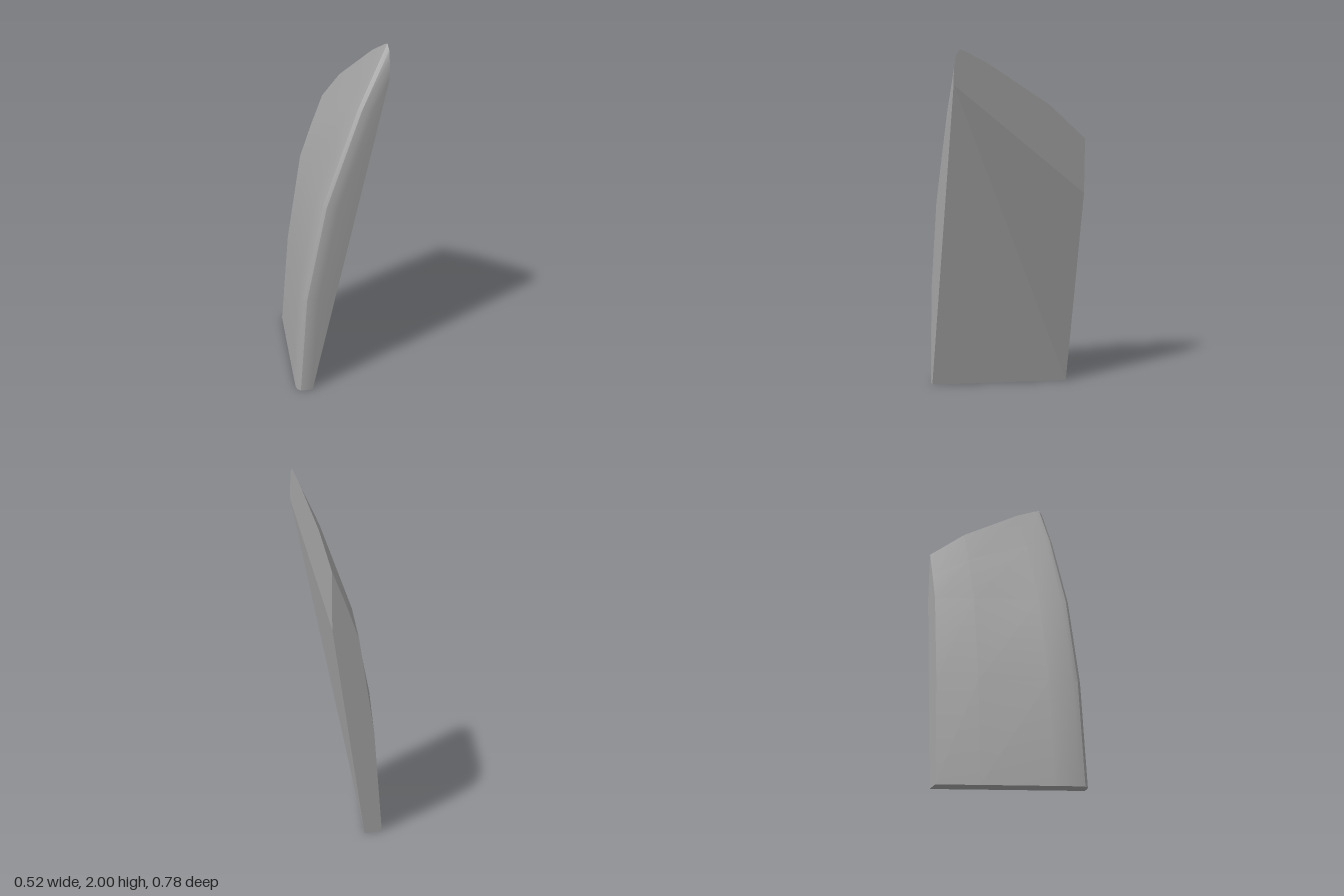
import * as THREE from 'three';
import { toCreasedNormals } from 'three/addons/utils/BufferGeometryUtils.js';

const V = (x, y, z) => new THREE.Vector3(x, y, z);

// Vertical ribs of the curved shell, from the back edge round the rounded
// front corner to the inner edge: z, then [x, y] from the foot to the tip.
const ribs = [
  [-0.39, [-0.03, 0], [0.02, 0.6], [0.11, 1.14], [0.185, 1.335], [0.26, 1.51]],
  [-0.17, [-0.102, 0], [-0.053, 0.6], [0.045, 1.145], [0.16, 1.465], [0.26, 1.7]],
  [0.2, [-0.222, 0], [-0.178, 0.6], [-0.065, 1.15], [0.12, 1.62], [0.26, 1.93]],
  [0.325, [-0.261, 0], [-0.22, 0.6], [-0.103, 1.15], [0.1, 1.67], [0.26, 1.99]],
  [0.355, [-0.263, 0], [-0.221, 0.6], [-0.104, 1.15], [0.098, 1.67], [0.26, 2]],
  [0.375, [-0.25, 0], [-0.208, 0.6], [-0.09, 1.15], [0.112, 1.67], [0.26, 1.97]],
  [0.386, [-0.22, 0], [-0.178, 0.6], [-0.06, 1.15], [0.142, 1.67], [0.26, 1.91]],
  [0.39, [-0.185, 0], [-0.142, 0.6], [-0.025, 1.15], [0.172, 1.67], [0.26, 1.85]],
  [0.39, [-0.18, 0], [-0.035, 0.6], [0.098, 1.15], [0.224, 1.67], [0.26, 1.82]],
].map(([z, ...pts]) => pts.map(([x, y]) => V(x, y, z)));

// Flat convex face as a triangle fan
function fan(points, flip = false) {
  const p = flip ? [...points].reverse() : points;
  const tris = [];
  for (let i = 1; i < p.length - 1; i++) tris.push(p[0], p[i], p[i + 1]);
  return tris;
}

function geometryFrom(tris) {
  const g = new THREE.BufferGeometry().setFromPoints(tris);
  g.computeVertexNormals();
  return g;
}

export function createModel() {
  const group = new THREE.Group();
  group.name = 'curvedPanel';
  const grey = new THREE.MeshStandardMaterial({ color: 0xa3a3a3 });
  grey.name = 'plain grey';

  const add = (name, geometry) => {
    const mesh = new THREE.Mesh(geometry, grey);
    mesh.name = name;
    group.add(mesh);
  };

  // Curved outer shell with its rounded front edge
  const shell = [];
  for (let i = 0; i < ribs.length - 1; i++) {
    for (let j = 0; j < 4; j++) {
      const a = ribs[i][j], b = ribs[i + 1][j];
      const c = ribs[i + 1][j + 1], d = ribs[i][j + 1];
      shell.push(a, b, c, a, c, d);
    }
  }
  add('outerShell', toCreasedNormals(geometryFrom(shell), 0.6));

  // Flat faces that close the shell
  const back = ribs[0], last = ribs[ribs.length - 1];
  const A = last[0], D = last[4];
  const B = V(0.075, 0, -0.39), C = V(0.26, 1.2, -0.39);
  add('innerFace', geometryFrom([A, B, D, B, C, D]));
  add('upperSideFace', geometryFrom(fan([C, ...ribs.map((r) => r[4])])));
  add('backEdge', geometryFrom(fan([B, C, ...[...back].reverse()], true)));
  add('base', geometryFrom(fan([B, ...ribs.map((r) => r[0])], true)));

  return group;
}
